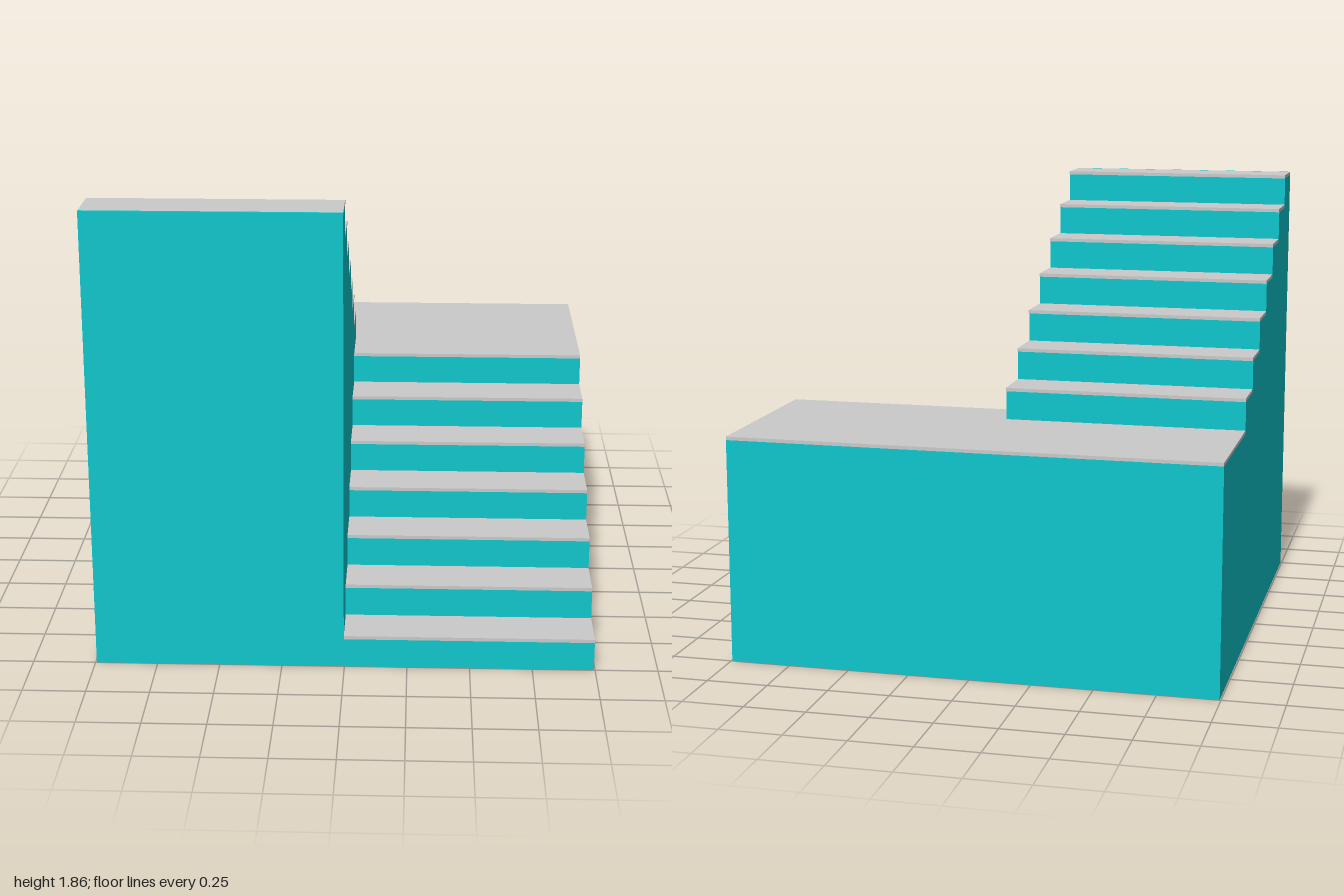
import * as THREE from 'three';

const STEPS = 7;             // rises per flight
const RISE = 1.862 / 14;
const RUN = 0.2;
const SLAB = 0.014;          // tread thickness
const NOSE = 0.01;           // tread overhang of the upper flight
const HALF = 0.995;          // half width
const MID = -0.002;          // boundary between the flights

export function createModel() {
  const group = new THREE.Group();
  const teal = new THREE.MeshStandardMaterial({ color: 0x0fc7cd });
  teal.name = 'teal body';
  const grey = new THREE.MeshStandardMaterial({ color: 0xcacaca });
  grey.name = 'grey tread';

  const add = (name, geometry, material) => {
    const mesh = new THREE.Mesh(geometry, material);
    mesh.name = name;
    group.add(mesh);
    return mesh;
  };

  // Extrudes a (z, y) side profile across the width from x0 to x1
  const body = (name, points, x0, x1) => {
    const shape = new THREE.Shape(points.map(([z, y]) => new THREE.Vector2(z, y)));
    const geometry = new THREE.ExtrudeGeometry(shape, { depth: x1 - x0, bevelEnabled: false });
    geometry.rotateY(-Math.PI / 2).translate(x1, 0, 0);
    add(name, geometry, teal);
  };

  // Thin board whose upper face lies at height top
  const tread = (name, x0, x1, z0, z1, top) => {
    const mesh = add(name, new THREE.BoxGeometry(x1 - x0, SLAB, z1 - z0), grey);
    mesh.position.set((x0 + x1) / 2, top - SLAB / 2, (z0 + z1) / 2);
  };

  // Lower flight climbs from the front to the landing
  const lower = [[-1, 0], [1, 0]];
  for (let i = 1; i <= STEPS; i++) {
    const front = 1 - (i - 1) * RUN;
    const back = i === STEPS ? -1 : front - RUN;
    const y = i * RISE - SLAB;
    lower.push([front, y], [back, y]);
    if (i < STEPS) tread('lowerTread' + i, MID, HALF, back, front, i * RISE);
  }
  body('lowerFlight', lower, MID, HALF);

  // Upper flight turns back and climbs towards the front
  const landingTop = STEPS * RISE;
  const start = -0.4;
  const upper = [[-1, 0], [-1, landingTop - SLAB], [start, landingTop - SLAB]];
  for (let i = 1; i <= STEPS; i++) {
    const z0 = start + (i - 1) * RUN;
    const z1 = z0 + RUN;
    const top = landingTop + i * RISE;
    const treadEnd = i === STEPS ? z1 - NOSE : z1;
    upper.push([z0, top - SLAB], [treadEnd, top - SLAB]);
    tread('upperTread' + i, -HALF, MID, z0 - NOSE, treadEnd, top);
  }
  // Front wall rises flush with the last tread
  upper.push([1 - NOSE, 2 * landingTop], [1, 2 * landingTop], [1, 0]);
  body('upperFlight', upper, -HALF, MID);

  // L-shaped landing slab
  const plan = [[-HALF, 1], [-HALF, 0.4], [MID, 0.4], [MID, 0.2], [HALF, 0.2], [HALF, 1]];
  const landing = new THREE.ExtrudeGeometry(
    new THREE.Shape(plan.map(([x, y]) => new THREE.Vector2(x, y))),
    { depth: SLAB, bevelEnabled: false });
  landing.rotateX(-Math.PI / 2).translate(0, landingTop - SLAB, 0);
  add('landingSlab', landing, grey);

  return group;
}
